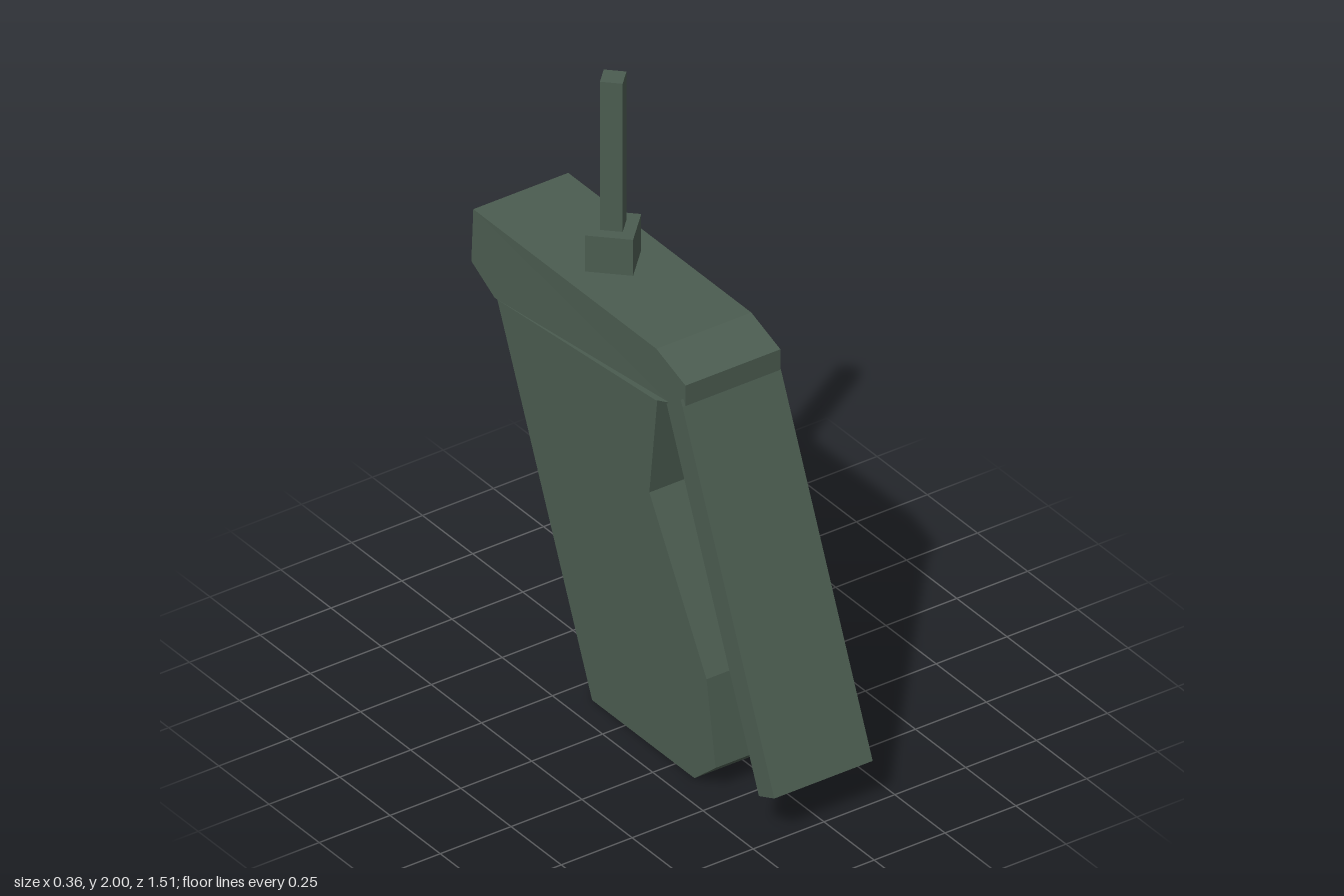
import * as THREE from 'three';

const olive = new THREE.MeshStandardMaterial({ color: 0x4b5c50, flatShading: true });
olive.name = 'dull olive green';

// Extrudes a side profile of [z, y] points from x0 to x1; adjust may return a new x per corner
function slab(name, profile, x0, x1, adjust) {
  const shape = new THREE.Shape(profile.map(([z, y]) => new THREE.Vector2(z, y)));
  const geo = new THREE.ExtrudeGeometry(shape, { depth: x1 - x0, bevelEnabled: false });
  geo.rotateY(-Math.PI / 2).translate(x1, 0, 0);
  if (adjust) {
    const p = geo.attributes.position;
    for (let i = 0; i < p.count; i++) p.setX(i, adjust(p.getX(i), p.getY(i)));
    geo.computeVertexNormals();
  }
  const mesh = new THREE.Mesh(geo, olive);
  mesh.name = name;
  return mesh;
}

// Square post turned corner-on
function post(name, radius, y0, y1) {
  const mesh = new THREE.Mesh(new THREE.CylinderGeometry(radius, radius, y1 - y0, 4), olive);
  mesh.name = name;
  mesh.position.set(0, (y0 + y1) / 2, -0.3);
  return mesh;
}

export function createModel() {
  const group = new THREE.Group();
  group.name = 'triggerGrip';

  // Slanted hand grip, a touch wider on its left below the cap
  group.add(slab('grip', [
    [-0.165, 0], [0.345, 0], [0.45, 0.09], [0.405, 0.37],
    [0.12, 0.86], [0.16, 1.2], [-0.64, 1.13],
  ], -0.17, 0.165, (x, y) => (x > 0 && y < 1.18 ? 0.177 : x)));

  // Cap over the grip, flaring slightly on its right towards the bottom
  group.add(slab('cap', [
    [-0.64, 1.13], [0.16, 1.2], [0.22, 1.22], [0.3, 1.25],
    [0.3, 1.32], [0.155, 1.37], [-0.757, 1.37], [-0.757, 1.195],
  ], -0.17, 0.165, (x, y) => (x < 0 && y < 1.21 ? -0.177 : x)));

  // Long squeeze lever in front
  group.add(slab('lever', [
    [0.22, 1.22], [0.68, 0.118], [0.757, 0.15], [0.3, 1.25], [0.29, 1.27],
  ], -0.18, 0.167));

  // Rod and its socket on top
  group.add(post('rodSocket', 0.099, 1.36, 1.493));
  group.add(post('rod', 0.047, 1.48, 2));
  return group;
}
